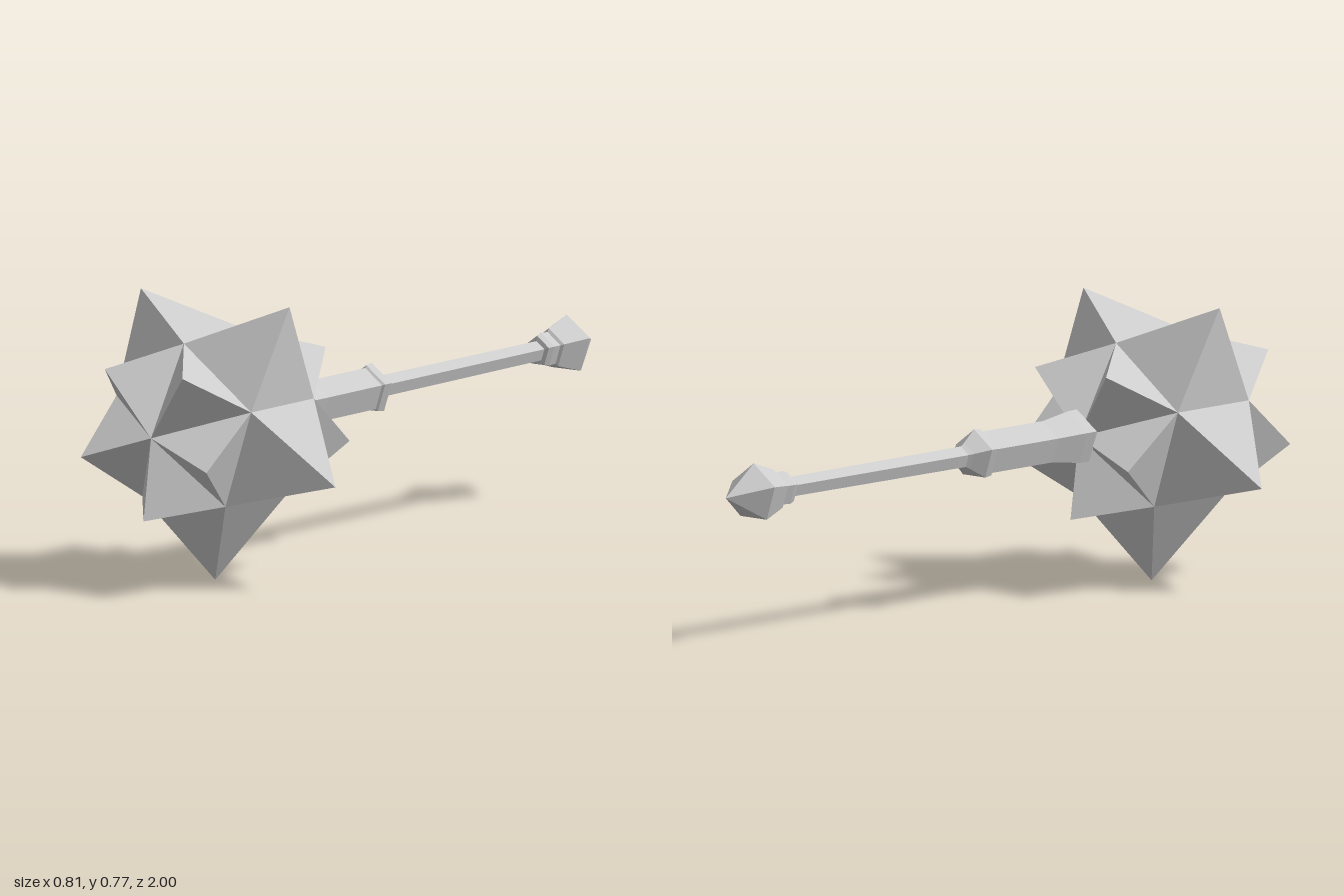
import * as THREE from 'three';

const AXIS_Y = 0.425;   // height of the handle axis
const HEAD_Z = 0.68;    // centre of the spiked head
const SIDES = 5;

const material = new THREE.MeshStandardMaterial({ color: 0xcccccc, flatShading: true });

// Five-sided turned part along z; profile is [z, radius] with z ascending
function turned(name, profile) {
  const points = profile.map(([z, r]) => new THREE.Vector2(r, z));
  const geometry = new THREE.LatheGeometry(points, SIDES, Math.PI);
  geometry.rotateX(Math.PI / 2);
  const mesh = new THREE.Mesh(geometry, material);
  mesh.name = name;
  return mesh;
}

// Point at a radius on the k-th fifth of a turn (k = 0 points up)
function ringPoint(radius, k, z) {
  const a = Math.PI / 2 + (k * Math.PI * 2) / SIDES;
  return new THREE.Vector3(Math.cos(a) * radius, Math.sin(a) * radius, z);
}

// Open pyramid over a counter-clockwise base
function spike(name, base, tip) {
  const corners = [];
  base.forEach((p, i) => corners.push(p, base[(i + 1) % base.length], tip));
  const geometry = new THREE.BufferGeometry().setFromPoints(corners);
  geometry.computeVertexNormals();
  const mesh = new THREE.Mesh(geometry, material);
  mesh.name = name;
  return mesh;
}

// Elongated pentagonal bipyramid with a spike on every face
function createHead() {
  const head = new THREE.Group();
  head.name = 'spikedHead';
  const ringR = 0.238, ringZ = 0.14, poleZ = 0.287;
  for (let k = 0; k < SIDES; k++) {
    const front = [ringPoint(ringR, k, ringZ), ringPoint(ringR, k + 1, ringZ)];
    const back = [ringPoint(ringR, k, -ringZ), ringPoint(ringR, k + 1, -ringZ)];
    head.add(
      spike('sideSpike', [front[0], back[0], back[1], front[1]], ringPoint(0.425, k + 0.5, 0)),
      spike('frontSpike', [new THREE.Vector3(0, 0, poleZ), front[0], front[1]],
        ringPoint(0.222, k + 0.5, 0.32)),
      spike('backSpike', [new THREE.Vector3(0, 0, -poleZ), back[1], back[0]],
        ringPoint(0.222, k + 0.5, -0.32)),
    );
  }
  head.position.z = HEAD_Z;
  return head;
}

export function createModel() {
  const mace = new THREE.Group();
  mace.name = 'mace';
  mace.add(
    turned('pommel', [[-1, 0], [-0.89, 0.082], [-0.81, 0.055], [-0.805, 0.046]]),
    turned('pommelCollar', [[-0.805, 0.046], [-0.775, 0.048], [-0.758, 0.042], [-0.755, 0.025]]),
    turned('shaft', [[-0.76, 0.028], [-0.07, 0.03]]),
    turned('gripCollar', [[-0.075, 0.028], [-0.06, 0.038], [-0.02, 0.07], [0.005, 0.067], [0.01, 0.06]]),
    turned('grip', [[0.01, 0.06], [0.25, 0.06], [0.35, 0.075], [0.385, 0.076], [0.41, 0.055], [0.415, 0]]),
    createHead(),
  );
  mace.position.y = AXIS_Y;

  const model = new THREE.Group();
  model.name = 'model';
  model.add(mace);
  return model;
}
